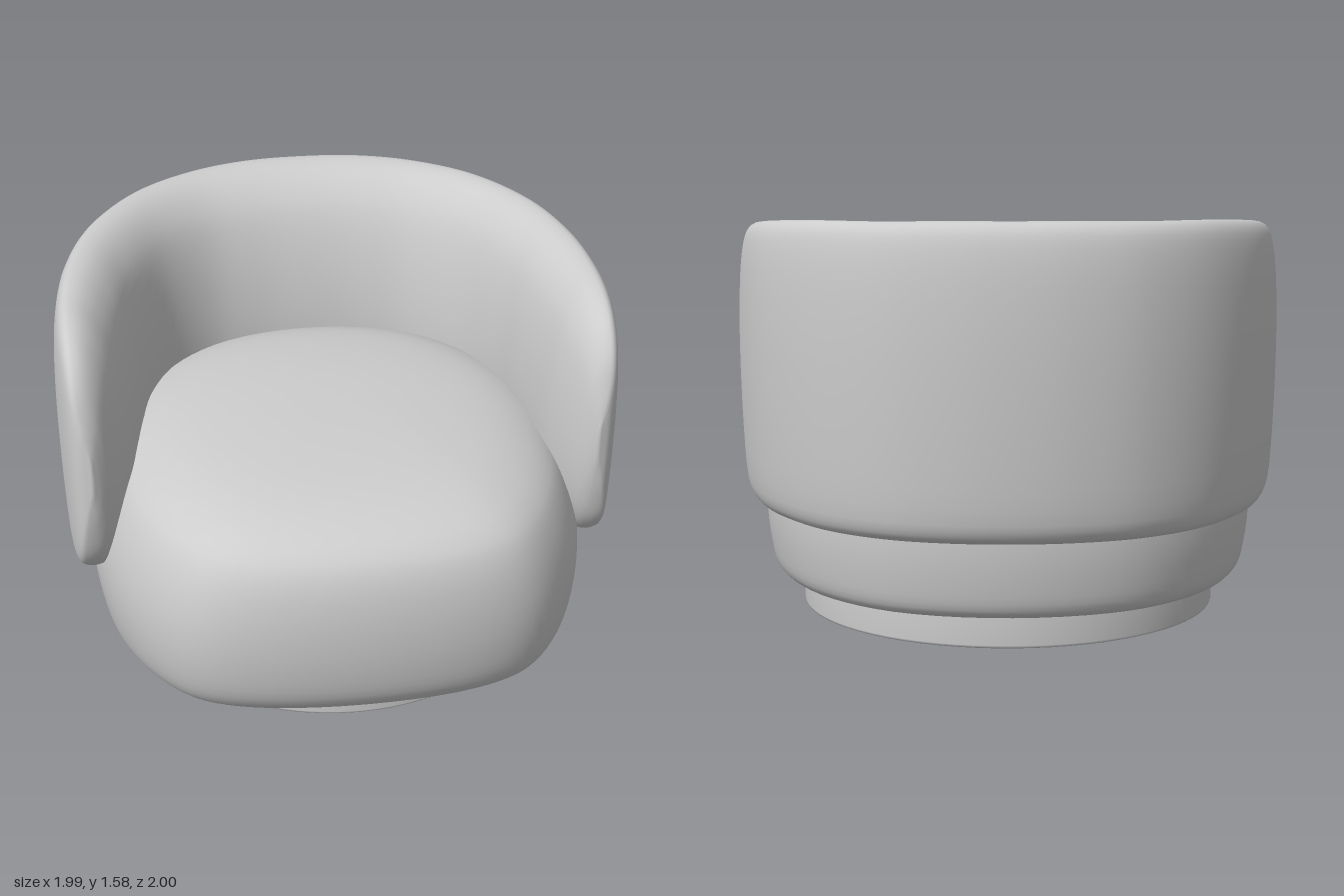
import * as THREE from 'three';

const V = (x, y, z) => new THREE.Vector3(x, y, z);

// Smooth skin through closed rings of points; both ends are closed to their centres.
function loft(rings) {
  const n = rings[0].length;
  const centre = (r) => r.reduce((s, p) => s.add(p), V(0, 0, 0)).divideScalar(n);
  const pos = [];
  const index = [];
  rings.forEach((r) => r.forEach((p) => pos.push(p.x, p.y, p.z)));
  for (let i = 0; i < rings.length - 1; i++) {
    for (let j = 0; j < n; j++) {
      const k = (j + 1) % n;
      const a = i * n + j, b = i * n + k, c = a + n, d = b + n;
      index.push(a, b, c, b, d, c);
    }
  }
  const first = rings.length * n, last = (rings.length - 1) * n;
  for (const r of [rings[0], rings[rings.length - 1]]) {
    const c = centre(r);
    pos.push(c.x, c.y, c.z);
  }
  for (let j = 0; j < n; j++) {
    const k = (j + 1) % n;
    index.push(first, k, j, first + 1, last + j, last + k);
  }
  const g = new THREE.BufferGeometry();
  g.setAttribute('position', new THREE.Float32BufferAttribute(pos, 3));
  g.setIndex(index);
  g.computeVertexNormals();
  return g;
}

// Plump cushion: rounded plan outline scaled by a height profile
function seatGeometry() {
  const half = [[0.4, 0.955], [0.6, 0.87], [0.74, 0.7], [0.84, 0.47], [0.89, 0.22],
    [0.9, 0], [0.85, -0.27], [0.7, -0.55], [0.42, -0.77]];
  const plan = [[0, 0.995], ...half, [0, -0.855], ...half.slice().reverse().map(([x, z]) => [-x, z])];
  const outline = new THREE.CatmullRomCurve3(plan.map(([x, z]) => V(x, 0, z)), true).getPoints(96).slice(0, 96);
  // x scale, height, z scale
  const rows = [[0.5, 0.245, 0.5], [0.85, 0.245, 0.83], [0.93, 0.25, 0.885], [0.965, 0.28, 0.925],
    [0.985, 0.35, 0.965], [1, 0.47, 0.99], [0.995, 0.6, 1], [0.965, 0.72, 0.995], [0.92, 0.82, 0.975],
    [0.87, 0.89, 0.94], [0.78, 0.95, 0.86], [0.63, 1.0, 0.7], [0.4, 1.03, 0.45], [0.2, 1.042, 0.22], [0.03, 1.045, 0.03]];
  const profile = new THREE.CatmullRomCurve3(rows.map((r) => V(...r))).getPoints(42);
  return loft(profile.map((s) => outline.map((p) => {
    const tilt = 0.018 * p.z * Math.max(0, 1 - (s.y - 0.245) / 0.3);
    return V(p.x * s.x, s.y + tilt, p.z * (p.z < 0 ? s.x : s.z));
  })));
}

// Wraparound back and arms: a padded section swept between outer and inner plan curves
function backGeometry() {
  // outer x, outer z, inner x, inner z, top, bottom
  const half = [
    [0.22, -0.98, 0.2, -0.61, 1.575, 0.515],
    [0.44, -0.91, 0.38, -0.555, 1.57, 0.515],
    [0.67, -0.75, 0.54, -0.42, 1.565, 0.515],
    [0.86, -0.5, 0.645, -0.2, 1.55, 0.518],
    [0.955, -0.24, 0.69, 0, 1.53, 0.52],
    [0.99, 0, 0.715, 0.13, 1.505, 0.525],
    [0.99, 0.2, 0.745, 0.27, 1.475, 0.535],
    [0.975, 0.34, 0.78, 0.36, 1.42, 0.575],
    [0.955, 0.425, 0.815, 0.425, 1.33, 0.66],
    [0.925, 0.47, 0.85, 0.465, 1.2, 0.8],
    [0.89, 0.487, 0.88, 0.487, 1.08, 0.95]];
  const stations = [
    ...half.slice().reverse().map(([a, b, c, d, t, l]) => [-a, b, -c, d, t, l]),
    [0, -1, 0, -0.625, 1.575, 0.515],
    ...half];
  const outer = new THREE.CatmullRomCurve3(stations.map((s) => V(s[0], s[4], s[1]))).getPoints(132);
  const inner = new THREE.CatmullRomCurve3(stations.map((s) => V(s[2], s[5], s[3]))).getPoints(132);
  // fraction of thickness from the outside, fraction of height
  const section = [[0, 0.55], [0.01, 0.75], [0.04, 0.88], [0.09, 0.96], [0.17, 0.995], [0.28, 1],
    [0.44, 0.982], [0.61, 0.935], [0.76, 0.86], [0.88, 0.74], [0.96, 0.6], [1, 0.45], [0.99, 0.3],
    [0.9, 0.15], [0.7, 0.04], [0.45, 0], [0.25, 0], [0.13, 0.02], [0.07, 0.07], [0.025, 0.25]];
  const loop = new THREE.CatmullRomCurve3(section.map(([s, h]) => V(s, h, 0)), true).getPoints(60).slice(0, 60);
  return loft(outer.map((o, i) => loop.map((q) => V(
    THREE.MathUtils.lerp(o.x, inner[i].x, q.x),
    THREE.MathUtils.lerp(inner[i].y, o.y, q.y),
    THREE.MathUtils.lerp(o.z, inner[i].z, q.x)))));
}

export function createModel() {
  const model = new THREE.Group();
  model.name = 'swivelArmchair';
  const grey = new THREE.MeshStandardMaterial({ color: 0xcccccc });
  grey.name = 'light grey';

  const add = (name, geometry, x = 0, y = 0, z = 0) => {
    const mesh = new THREE.Mesh(geometry, grey);
    mesh.name = name;
    mesh.position.set(x, y, z);
    model.add(mesh);
  };

  add('seatCushion', seatGeometry());
  add('wraparoundBack', backGeometry());

  // Round plinth: separate flat underside keeps its edge crisp
  const side = [[0.75, 0.12], [0.758, 0.123], [0.762, 0.132], [0.762, 0.25], [0.755, 0.262]];
  add('plinthSide', new THREE.LatheGeometry(side.map((p) => new THREE.Vector2(...p)), 72), 0, 0, -0.012);
  add('plinthUnderside', new THREE.CircleGeometry(0.75, 72).rotateX(Math.PI / 2), 0, 0.12, -0.012);

  // Small central foot with stem and collar
  add('footPad', new THREE.CylinderGeometry(0.055, 0.055, 0.07, 28), -0.005, 0.035, -0.005);
  add('footStem', new THREE.CylinderGeometry(0.035, 0.035, 0.06, 24), -0.005, 0.095, -0.005);
  add('footCollar', new THREE.CylinderGeometry(0.052, 0.04, 0.022, 24), -0.005, 0.11, -0.005);
  return model;
}
